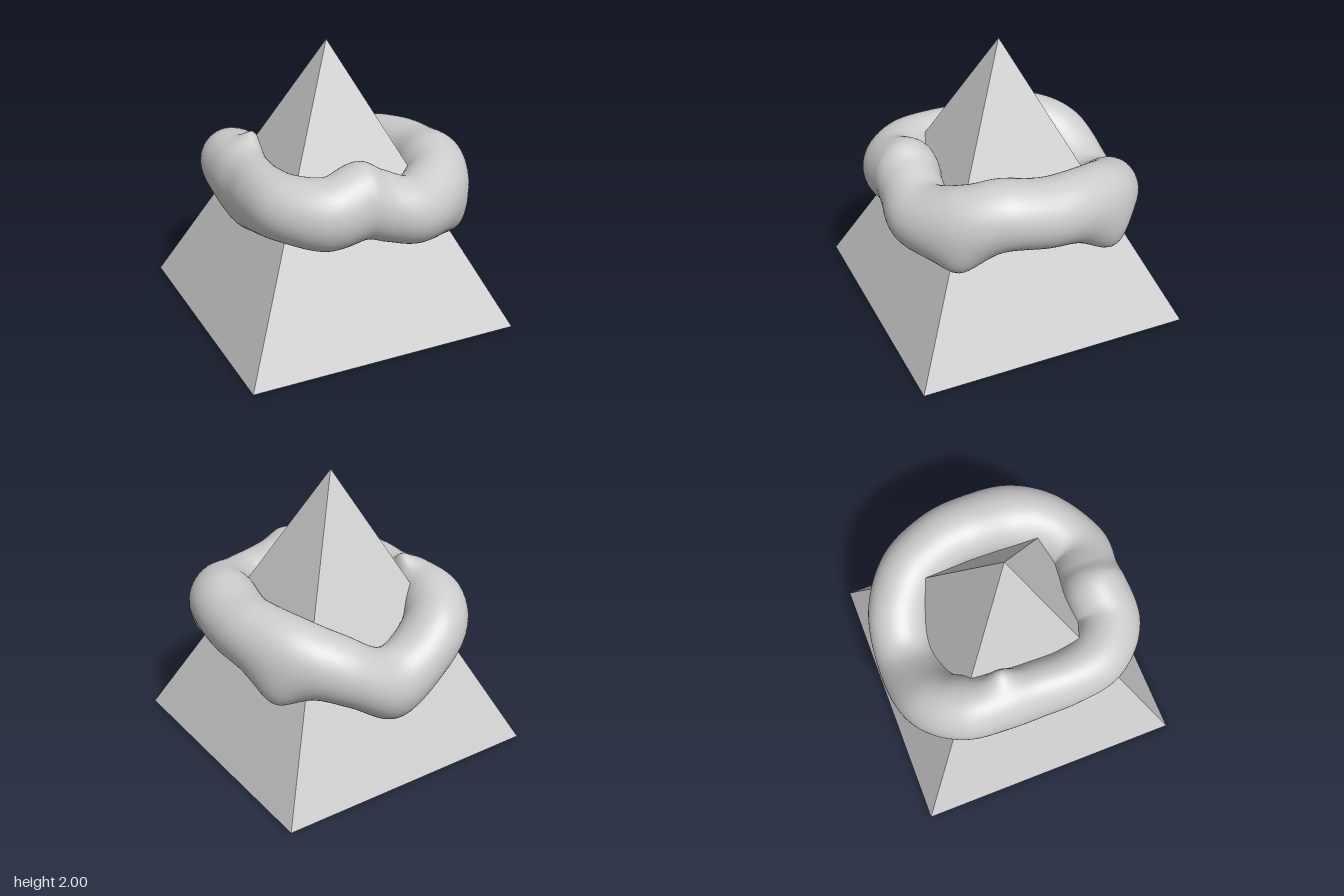
import * as THREE from 'three';

const grey = (opts = {}) => new THREE.MeshStandardMaterial({ color: 0xcccccc, ...opts });

// Square pyramid, 2 x 2 base and 2 high
function makePyramid() {
  const geo = new THREE.ConeGeometry(Math.SQRT2, 2, 4, 1);
  geo.rotateY(Math.PI / 4);
  geo.translate(0, 1, 0);
  const mesh = new THREE.Mesh(geo, grey({ flatShading: true }));
  mesh.name = 'pyramid';
  return mesh;
}

// Ring stations: centre x, y, z, half width, half height
const stations = [
  [0.745, 1.02, 0, 0.24, 0.24],
  [0.70, 1.05, 0.30, 0.245, 0.245],
  [0.58, 0.97, 0.54, 0.24, 0.28],
  [0.32, 0.94, 0.71, 0.235, 0.24],
  [0.10, 1.00, 0.70, 0.225, 0.25],
  [-0.07, 1.06, 0.68, 0.235, 0.27],
  [-0.33, 1.01, 0.68, 0.23, 0.25],
  [-0.53, 1.02, 0.50, 0.22, 0.23],
  [-0.59, 1.00, 0.25, 0.20, 0.25],
  [-0.585, 0.97, 0, 0.20, 0.28],
  [-0.59, 1.00, -0.25, 0.20, 0.27],
  [-0.54, 1.02, -0.52, 0.225, 0.24],
  [-0.35, 0.92, -0.71, 0.23, 0.25],
  [0.02, 0.69, -0.755, 0.23, 0.26],
  [0.35, 0.85, -0.70, 0.23, 0.25],
  [0.59, 0.97, -0.52, 0.23, 0.24],
  [0.715, 1.01, -0.25, 0.235, 0.24],
];

// Local swellings: where, how far it pushes, and its reach
const swellings = [
  { at: [-0.46, 1.25, -0.21], push: [0.02, 0.11, 0], reach: 0.1 },
  { at: [0.74, 0.79, -0.46], push: [0.05, -0.13, -0.04], reach: 0.2 },
  { at: [0.70, 0.74, 0.58], push: [0.03, -0.04, 0.03], reach: 0.16 },
].map((s) => ({ at: new THREE.Vector3(...s.at), push: new THREE.Vector3(...s.push), reach: s.reach }));

// Lumpy closed ring swept around the pyramid
function makeRing() {
  const path = new THREE.CatmullRomCurve3(
    stations.map(([x, y, z]) => new THREE.Vector3(x, y, z)), true, 'catmullrom', 0.5);
  const sizes = new THREE.CatmullRomCurve3(
    stations.map(([, , , w, h]) => new THREE.Vector3(w, h, 0)), true, 'catmullrom', 0.5);
  const rings = 200, sides = 48;
  const positions = [], indices = [];
  const up = new THREE.Vector3(0, 1, 0);
  for (let i = 0; i < rings; i++) {
    const t = i / rings;
    const centre = path.getPoint(t), size = sizes.getPoint(t);
    // Average the heading so the sections do not fan sharply at the lumps
    const heading = path.getPoint((t + 0.025) % 1).sub(path.getPoint((t + 0.975) % 1));
    heading.y = 0;
    const out = heading.normalize().cross(up).negate();
    for (let j = 0; j < sides; j++) {
      const a = (j / sides) * Math.PI * 2;
      const p = centre.clone()
        .addScaledVector(out, Math.cos(a) * size.x)
        .addScaledVector(up, Math.sin(a) * size.y);
      const moved = p.clone();
      for (const s of swellings) {
        moved.addScaledVector(s.push, Math.exp(-p.distanceToSquared(s.at) / (s.reach * s.reach)));
      }
      positions.push(moved.x, moved.y, moved.z);
      const i2 = (i + 1) % rings, j2 = (j + 1) % sides;
      const p00 = i * sides + j, p01 = i * sides + j2;
      const p10 = i2 * sides + j, p11 = i2 * sides + j2;
      indices.push(p00, p01, p10, p01, p11, p10);
    }
  }
  const geo = new THREE.BufferGeometry();
  geo.setAttribute('position', new THREE.Float32BufferAttribute(positions, 3));
  geo.setIndex(indices);
  geo.computeVertexNormals();
  const mesh = new THREE.Mesh(geo, grey({ side: THREE.DoubleSide }));
  mesh.name = 'lumpyRing';
  return mesh;
}

export function createModel() {
  const model = new THREE.Group();
  model.name = 'ringedPyramid';
  model.add(makePyramid(), makeRing());
  return model;
}
